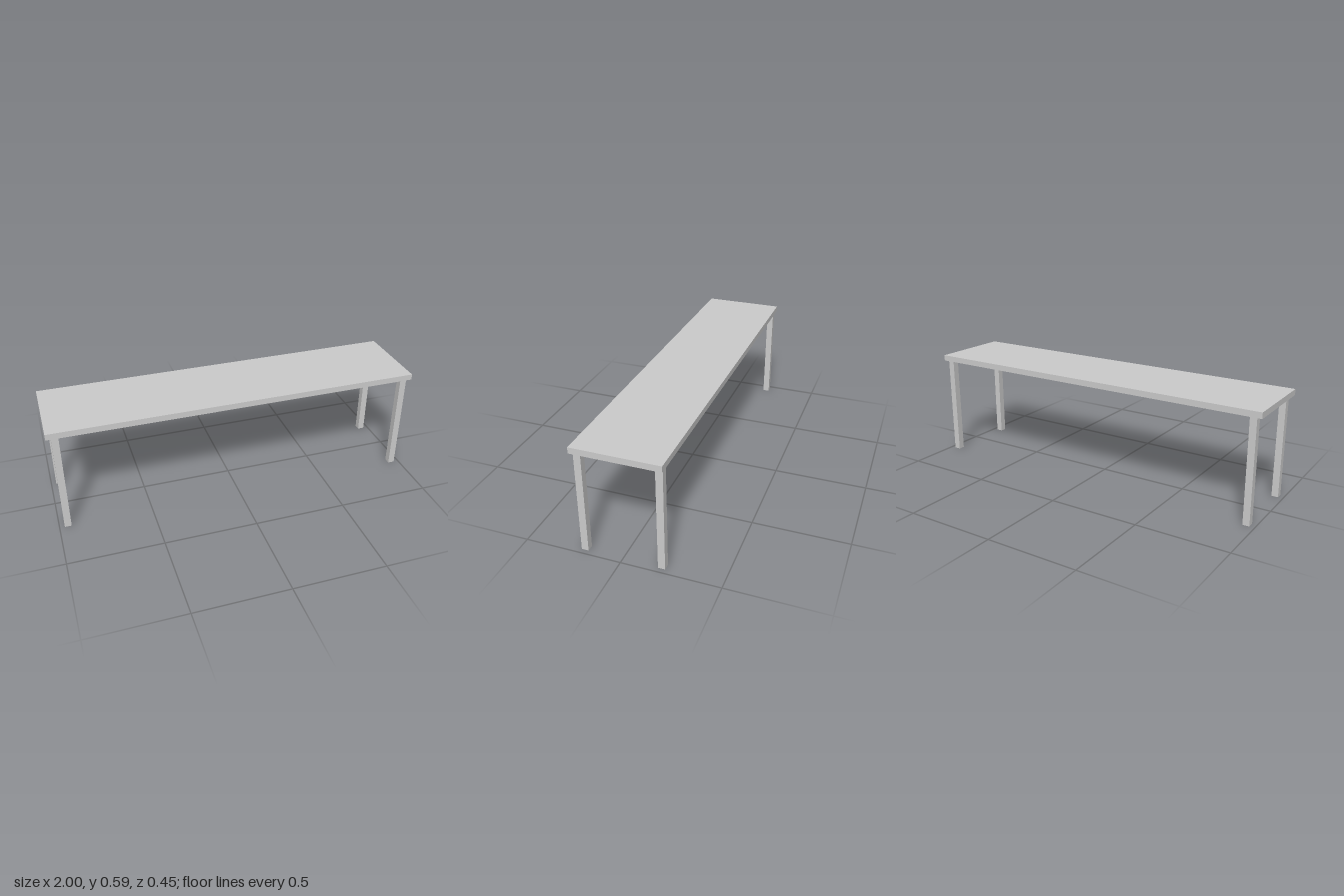
import * as THREE from 'three';

export function createModel() {
  const model = new THREE.Group();
  model.name = 'bench';
  const material = new THREE.MeshStandardMaterial({ color: 0xcccccc });

  const height = 0.589, thickness = 0.032, depth = 0.449;
  const legWidth = 0.036, legHeight = height - thickness;

  // Flat slab top
  const top = new THREE.Mesh(new THREE.BoxGeometry(2, thickness, depth), material);
  top.name = 'top';
  top.position.y = height - thickness / 2;
  model.add(top);

  // Four square legs, set in slightly from the corners
  const legGeometry = new THREE.BoxGeometry(legWidth, legHeight, legWidth);
  for (const [side, sx] of [['Left', 1], ['Right', -1]]) {
    for (const [end, sz] of [['front', 1], ['back', -1]]) {
      const leg = new THREE.Mesh(legGeometry, material);
      leg.name = `${end}${side}Leg`;
      leg.position.set(sx * 0.955, legHeight / 2, sz * 0.1975);
      model.add(leg);
    }
  }

  return model;
}
